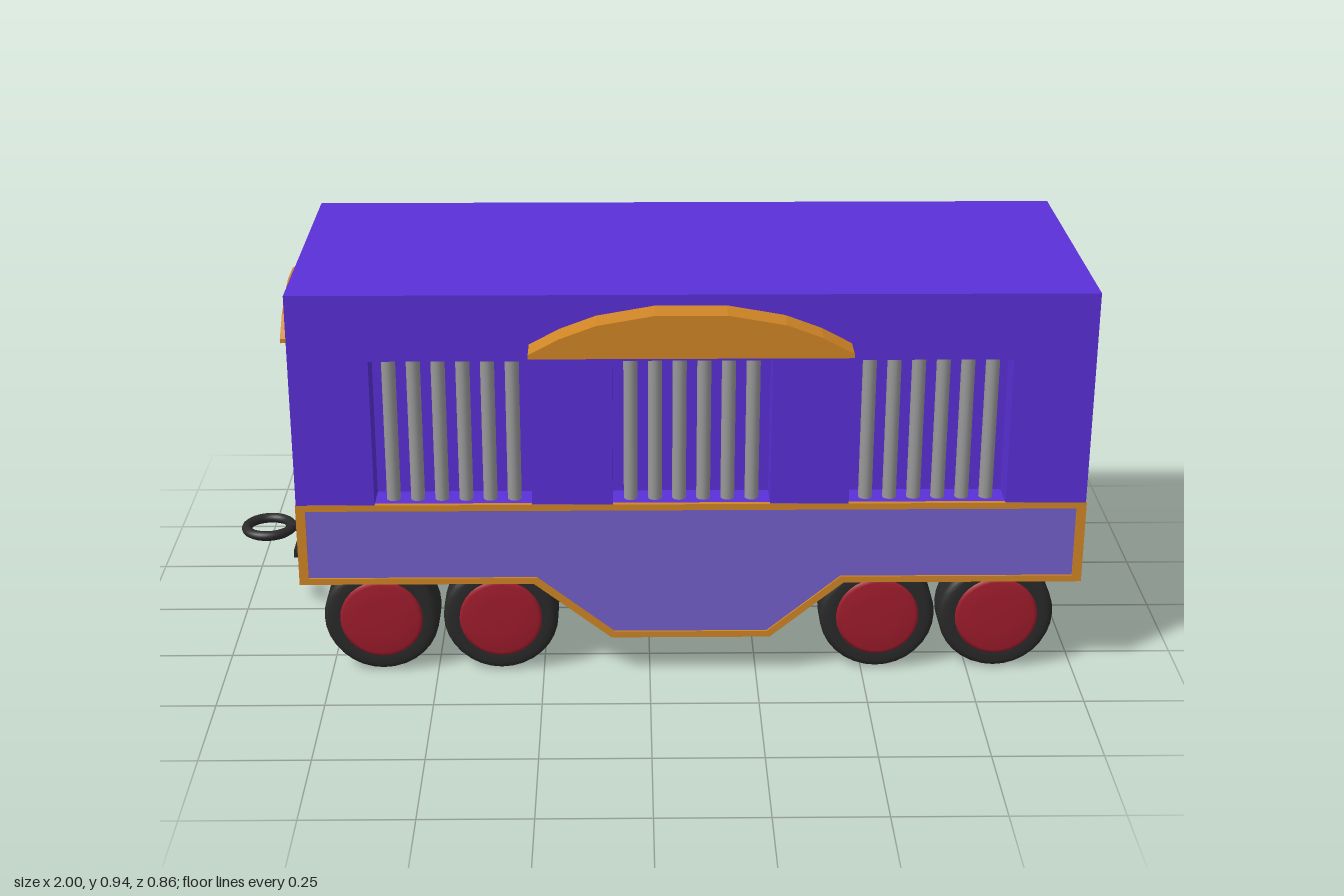
import * as THREE from 'three';

const mat = (color) => new THREE.MeshStandardMaterial({ color });
const shapeOf = (pts) => new THREE.Shape(pts.map(([x, y]) => new THREE.Vector2(x, y)));

export function createModel() {
  const root = new THREE.Group();
  const purple = mat(0x5a30d8), orange = mat(0xd08626), lilac = mat(0x7560cc);
  const black = mat(0x2a2a2a), red = mat(0xa01c2c), steel = mat(0x999999), grey = mat(0x707070);
  const X0 = -0.81, X1 = 1, CX = 0.095, LEN = 1.81;

  const add = (parent, name, geo, material, x = 0, y = 0, z = 0) => {
    const m = new THREE.Mesh(geo, material);
    m.name = name;
    m.position.set(x, y, z);
    parent.add(m);
    return m;
  };
  const extrude = (shape, depth) =>
    new THREE.ExtrudeGeometry(shape, { depth, bevelEnabled: false, curveSegments: 16 });

  // Inner core behind the window recesses
  add(root, 'core', new THREE.BoxGeometry(LEN, 0.505, 0.56), purple, CX, 0.6925, 0);

  // Lower hull with the dropped belly
  const skirt = [[X0, 0.24], [-0.27, 0.24], [-0.09, 0.1], [0.28, 0.1], [0.45, 0.24], [X1, 0.24], [X1, 0.44], [X0, 0.44]];
  add(root, 'hull', extrude(shapeOf(skirt), 0.7), purple, 0, 0, -0.35);

  // Outlines reused on both long sides
  const windows = [-0.45, 0.095, 0.635], half = 0.18;
  const wall = [[X0, 0.44]];
  for (const c of windows) wall.push([c - half, 0.44], [c - half, 0.79], [c + half, 0.79], [c + half, 0.44]);
  wall.push([X1, 0.44], [X1, 0.945], [X0, 0.945]);
  const inset = [[X0 + 0.02, 0.255], [-0.262, 0.255], [-0.083, 0.115], [0.273, 0.115], [0.442, 0.255], [X1 - 0.02, 0.255], [X1 - 0.02, 0.425], [X0 + 0.02, 0.425]];
  const frame = shapeOf(skirt);
  frame.holes.push(new THREE.Path(inset.map(([x, y]) => new THREE.Vector2(x, y))));
  const awning = [[-0.27, 0.82], [0.45, 0.82], [0.45, 0.83], [0.38, 0.867], [0.3, 0.897], [0.17, 0.92], [0.01, 0.92], [-0.12, 0.897], [-0.2, 0.867], [-0.27, 0.83]];

  // Wheel profiles: radius against axle position
  const v = (r, y) => new THREE.Vector2(r, y);
  const tyreGeo = new THREE.LatheGeometry([v(0, -0.052), v(0.118, -0.052), v(0.13, -0.046), v(0.135, -0.035), v(0.135, 0.035), v(0.13, 0.046), v(0.118, 0.052), v(0.1, 0.05), v(0, 0.045)], 32).rotateX(Math.PI / 2);
  const hubGeo = new THREE.LatheGeometry([v(0.097, 0.04), v(0.097, 0.05), v(0.088, 0.055), v(0.045, 0.057), v(0, 0.057)], 32).rotateX(Math.PI / 2);
  const barGeo = new THREE.CylinderGeometry(0.016, 0.016, 0.35, 12);

  for (const s of [1, -1]) {
    const side = new THREE.Group();
    side.name = s > 0 ? 'frontSide' : 'backSide';
    root.add(side);
    // Extrusions lie between two depths, mirrored by side
    const slab = (name, shape, a, b, m) => add(side, name, extrude(shape, b - a), m, 0, 0, s > 0 ? a : -b);
    slab('wall', shapeOf(wall), 0.28, 0.36, purple);
    slab('skirtFrame', frame, 0.35, 0.361, orange);
    slab('skirtPanel', shapeOf(inset), 0.349, 0.356, lilac);
    slab('awning', shapeOf(awning), 0.355, 0.43, orange);

    // Window bars
    for (const c of windows)
      for (let i = 0; i < 6; i++)
        add(side, 'windowBar', barGeo, steel, c + (i - 2.5) * 0.0556, 0.615, s * 0.32);

    // Wheels
    for (const x of [-0.63, -0.35, 0.535, 0.815]) {
      const wheel = new THREE.Group();
      wheel.name = 'wheel';
      wheel.position.set(x, 0.135, s * 0.277);
      if (s < 0) wheel.rotation.y = Math.PI;
      add(wheel, 'tyre', tyreGeo, black);
      add(wheel, 'hub', hubGeo, red);
      side.add(wheel);
    }
  }

  // Orange end bands with a shallow V along the top
  const band = shapeOf([[-0.36, 0.24], [0.36, 0.24], [0.36, 0.44], [0, 0.39], [-0.36, 0.44]]);
  for (const x of [X0 - 0.002, X1 - 0.002])
    add(root, 'endBand', extrude(band, 0.004), orange, x).rotation.y = Math.PI / 2;

  // Door and its awning
  add(root, 'door', new THREE.BoxGeometry(0.02, 0.54, 0.35), grey, -0.811, 0.51, -0.003);
  const doorAwning = shapeOf([[-0.222, 0.785], [0.222, 0.785], [0.222, 0.795], [0.17, 0.835], [0.1, 0.867], [0.04, 0.88], [-0.04, 0.88], [-0.1, 0.867], [-0.17, 0.835], [-0.222, 0.795]]);
  add(root, 'doorAwning', extrude(doorAwning, 0.035), orange, -0.844).rotation.y = Math.PI / 2;

  // Tow hitch
  add(root, 'hitchPlate', new THREE.BoxGeometry(0.11, 0.018, 0.35), black, -0.795, 0.231, -0.003);
  add(root, 'hitchBar', new THREE.BoxGeometry(0.06, 0.016, 0.03), black, -0.86, 0.228, 0);
  add(root, 'hitchRing', new THREE.TorusGeometry(0.055, 0.012, 10, 32).rotateX(Math.PI / 2), black, -0.933, 0.225, 0);

  return root;
}
